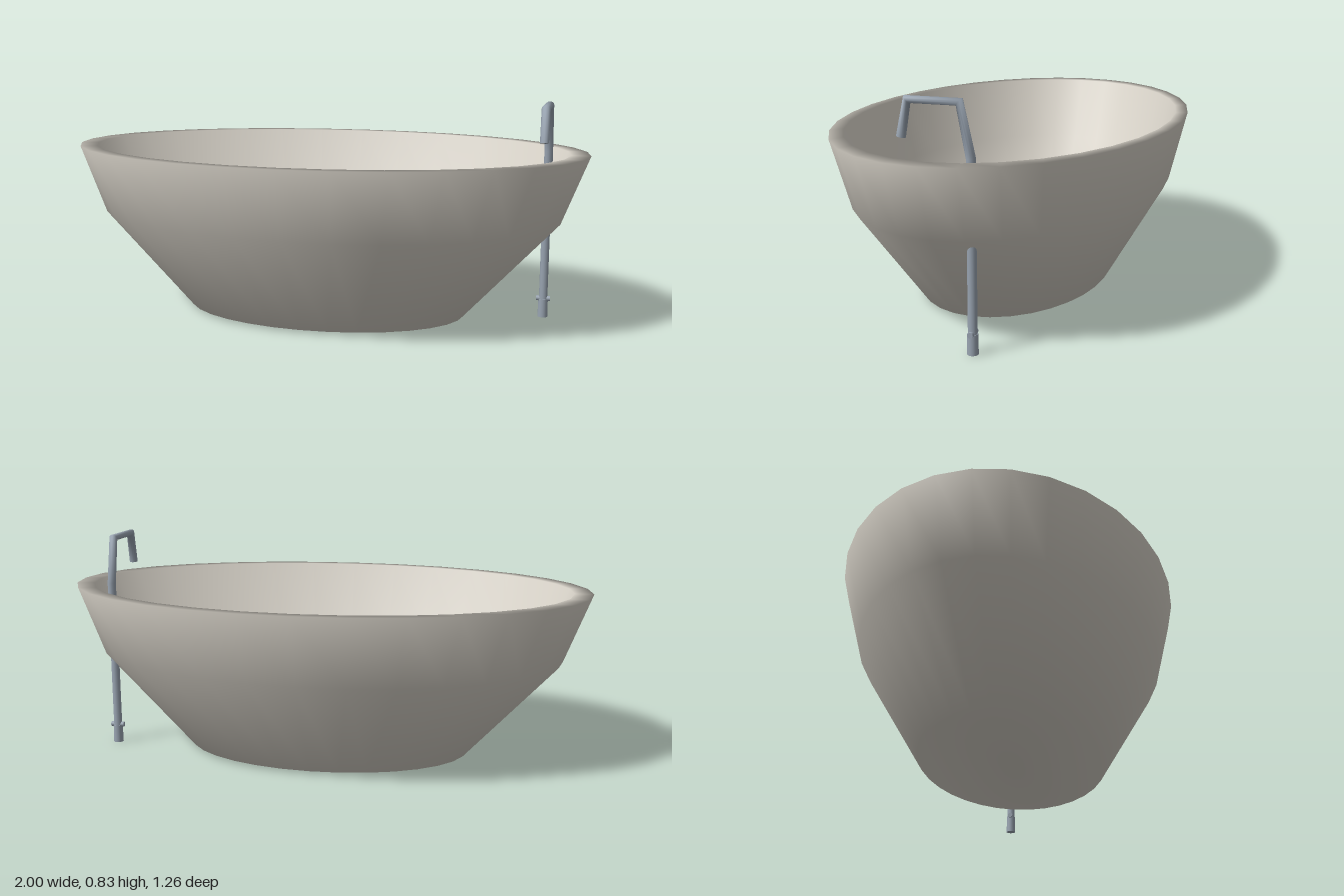
import * as THREE from 'three';

const ceramic = new THREE.MeshStandardMaterial({ color: 0xd5d0c6 });
ceramic.name = 'warm white ceramic';
const metal = new THREE.MeshStandardMaterial({ color: 0x98a3b0 });
metal.name = 'grey metal';

function addMesh(parent, name, geometry, material) {
  const mesh = new THREE.Mesh(geometry, material);
  mesh.name = name;
  parent.add(mesh);
  return mesh;
}

// Pipe in a plane of constant x, through [z, y] points, with mitred rings and closed ends
function bentPipe(path, radius, sides) {
  const positions = [], index = [];
  const pts = path.map(([z, y]) => new THREE.Vector3(0, y, z));
  const last = pts.length - 1;
  const dirs = pts.slice(1).map((p, i) => p.clone().sub(pts[i]).normalize());
  pts.forEach((p, i) => {
    const t = dirs[Math.max(i - 1, 0)].clone().add(dirs[Math.min(i, last - 1)]).normalize();
    const u = new THREE.Vector3(1, 0, 0);
    const v = t.clone().cross(u);
    for (let k = 0; k < sides; k++) {
      const a = (k / sides) * Math.PI * 2;
      const q = p.clone().addScaledVector(u, radius * Math.cos(a)).addScaledVector(v, radius * Math.sin(a));
      positions.push(q.x, q.y, q.z);
    }
  });
  for (let i = 0; i < last; i++) {
    for (let k = 0; k < sides; k++) {
      const a = i * sides + k, b = i * sides + (k + 1) % sides;
      index.push(a, b, a + sides, b, b + sides, a + sides);
    }
  }
  // End caps get their own vertices so the cut edges stay sharp
  for (const end of [0, last]) {
    const base = positions.length / 3;
    positions.push(...positions.slice(end * sides * 3, (end + 1) * sides * 3));
    for (let k = 1; k < sides - 1; k++) {
      if (end) index.push(base, base + k, base + k + 1);
      else index.push(base, base + k + 1, base + k);
    }
  }
  const geometry = new THREE.BufferGeometry();
  geometry.setAttribute('position', new THREE.Float32BufferAttribute(positions, 3));
  geometry.setIndex(index);
  geometry.computeVertexNormals();
  return geometry;
}

export function createModel() {
  const model = new THREE.Group();
  model.name = 'bathtub';

  // Oval shell: underside, outer wall, rim, inner wall, floor
  const profile = [
    [0, 0.004], [0.55, 0.01], [0.9, 0.387], [1, 0.645],
    [0.93, 0.645], [0.84, 0.4], [0.51, 0.06], [0, 0.05],
  ].map(([r, y]) => new THREE.Vector2(r, y));
  const shell = new THREE.LatheGeometry(profile, 32);
  shell.scale(1, 1, 0.63);
  addMesh(model, 'tub', shell, ceramic);

  // Tall tap standing at the left end
  const tap = new THREE.Group();
  tap.name = 'tap';
  tap.position.x = 0.84;
  model.add(tap);
  const footZ = -0.117;

  const path = [[footZ, 0.03], [footZ, 0.645], [-0.081, 0.82], [0.094, 0.82], [0.117, 0.7]];
  addMesh(tap, 'tapPipe', bentPipe(path, 0.016, 12), metal);

  const foot = addMesh(tap, 'tapFoot', new THREE.CylinderGeometry(0.018, 0.019, 0.07, 16), metal);
  foot.position.set(0, 0.035, footZ);

  const handle = addMesh(tap, 'tapHandle', new THREE.CylinderGeometry(0.01, 0.01, 0.052, 12), metal);
  handle.rotation.z = Math.PI / 2;
  handle.position.set(0, 0.072, footZ);

  return model;
}
